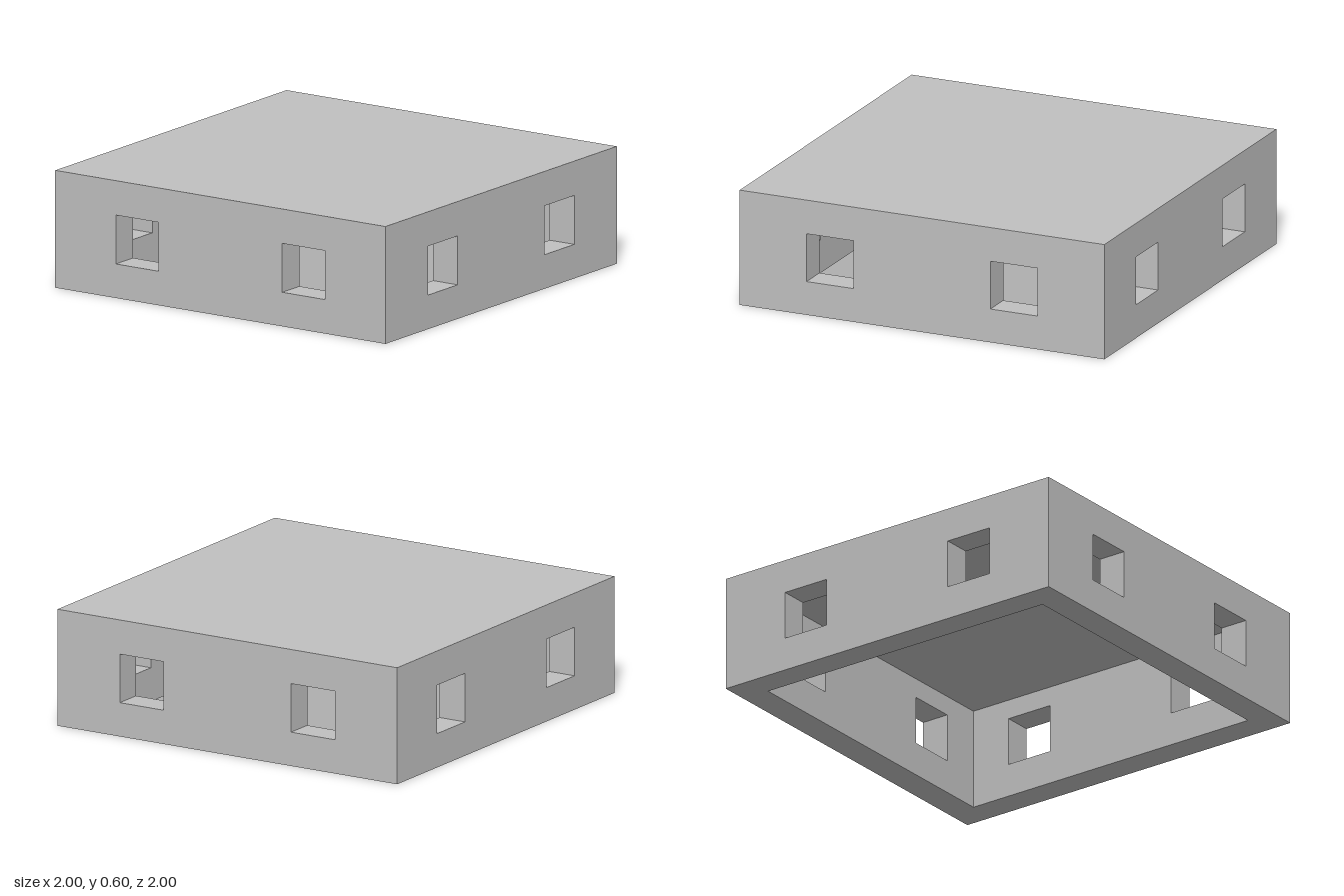
import * as THREE from 'three';

const HALF = 1, WALL = 0.15, HEIGHT = 0.6, LID = 0.075;
const WIN = { x0: 0.375, x1: 0.633, y0: 0.174, y1: 0.424 };

function rect(Type, x0, y0, x1, y1) {
  const p = new Type();
  p.moveTo(x0, y0);
  p.lineTo(x1, y0);
  p.lineTo(x1, y1);
  p.lineTo(x0, y1);
  p.closePath();
  return p;
}

// One wall with two square openings, its ends mitred to meet its neighbours
function wallGeometry() {
  const shape = rect(THREE.Shape, -HALF, 0, HALF, HEIGHT - LID);
  shape.holes.push(
    rect(THREE.Path, WIN.x0, WIN.y0, WIN.x1, WIN.y1),
    rect(THREE.Path, -WIN.x1, WIN.y0, -WIN.x0, WIN.y1)
  );
  const geo = new THREE.ExtrudeGeometry(shape, { depth: WALL, bevelEnabled: false });
  geo.translate(0, 0, HALF - WALL);
  const pos = geo.attributes.position;
  for (let i = 0; i < pos.count; i++) {
    const x = pos.getX(i);
    if (Math.abs(x) > 0.9) pos.setX(i, Math.sign(x) * pos.getZ(i));
  }
  geo.computeVertexNormals();
  return geo;
}

export function createModel() {
  const group = new THREE.Group();
  group.name = 'openBottomBox';

  const grey = new THREE.MeshStandardMaterial({ color: 0xc0c0c0 });
  grey.name = 'light grey';

  // Four identical walls around the hollow
  const geo = wallGeometry();
  ['frontWall', 'leftWall', 'backWall', 'rightWall'].forEach((name, i) => {
    const wall = new THREE.Mesh(geo, grey);
    wall.name = name;
    wall.rotation.y = (i * Math.PI) / 2;
    group.add(wall);
  });

  // Closed top plate
  const lid = new THREE.Mesh(new THREE.BoxGeometry(2 * HALF, LID, 2 * HALF), grey);
  lid.name = 'topPlate';
  lid.position.y = HEIGHT - LID / 2;
  group.add(lid);

  return group;
}
